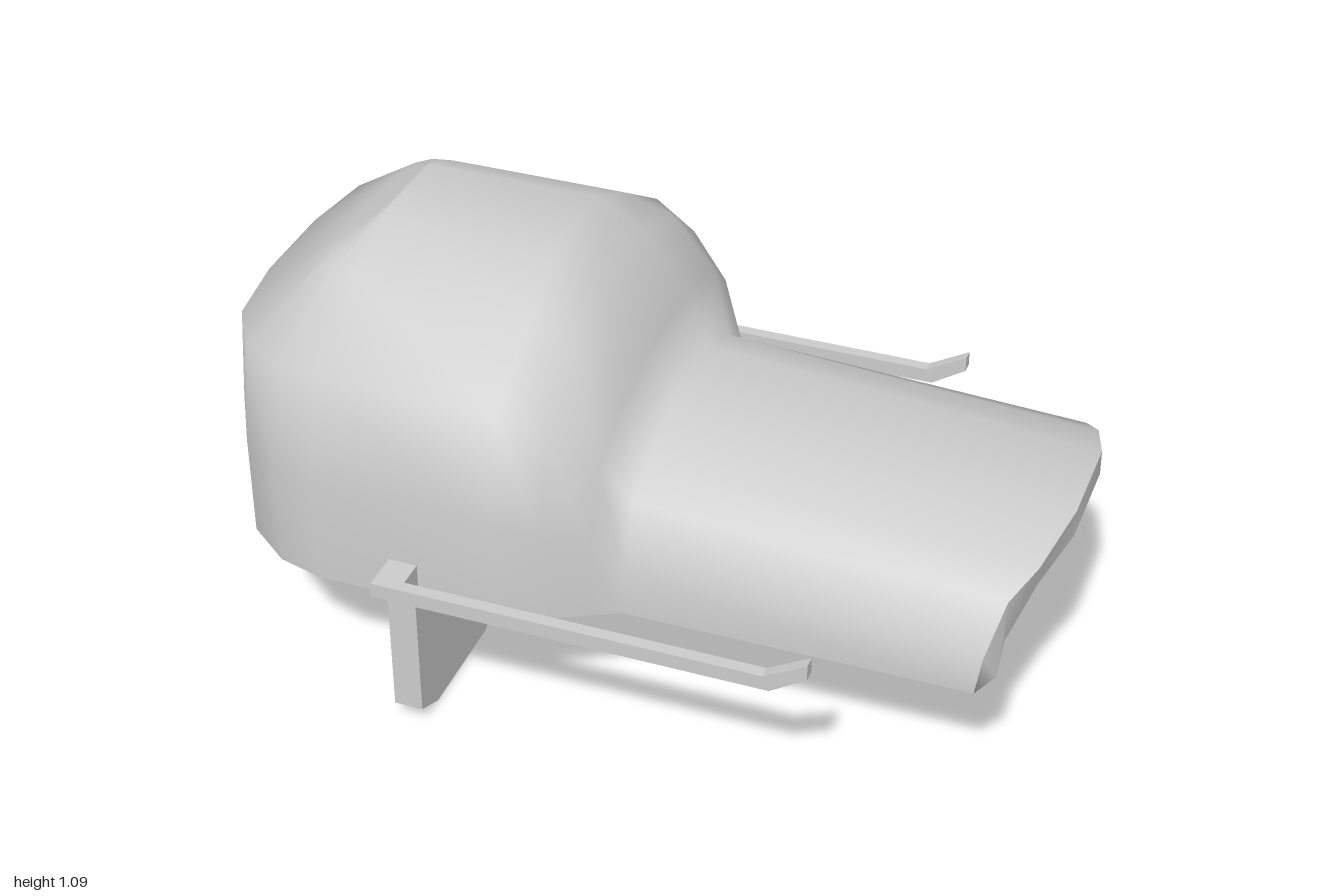
import * as THREE from 'three';

const material = new THREE.MeshStandardMaterial({ color: 0xcccccc, side: THREE.DoubleSide });

// Half of the shell: stations from the tunnel mouth back round the dome, five [x, y, z] levels each.
// The tunnel stations carry their own inner skin; the dome insets its outer one.
const STATIONS = [
  { outer: [[0.87, 0.35, 0.432], [0.885, 0.45, 0.432], [0.915, 0.565, 0.365], [0.96, 0.61, 0.28], [1, 0.665, 0.12]],
    inner: tunnelInner([0.875, 0.91, 0.912, 0.95, 1], 0, 0.6) },
  { outer: [[0.05, 0.35, 0.437], [0.05, 0.47, 0.435], [0.05, 0.61, 0.365], [0.05, 0.67, 0.28], [0.05, 0.735, 0.12]],
    inner: tunnelInner([0.05, 0.05, 0.05, 0.05, 0.05], 0, 0.6) },
  { outer: [[-0.02, 0.35, 0.47], [-0.02, 0.53, 0.465], [-0.01, 0.73, 0.42], [0, 0.82, 0.31], [0, 0.87, 0.13]],
    inner: tunnelInner([-0.04, -0.06, -0.06, -0.06, -0.06], 0.02, 0.6) },
  dome([[-0.11, 0.35, 0.52], [-0.11, 0.58, 0.52], [-0.11, 0.82, 0.47], [-0.11, 0.955, 0.31], [-0.11, 1.01, 0.13]]),
  ...[
    // Plan positions at the wall, shoulder, upper slope and crown
    [-0.22, 0.555, -0.22, 0.505, -0.22, 0.28, -0.22, 0.12],
    [-0.66, 0.555, -0.66, 0.505, -0.66, 0.28, -0.65, 0.12],
    [-0.77, 0.525, -0.76, 0.485, -0.71, 0.27, -0.65, 0.115],
    [-0.88, 0.44, -0.86, 0.43, -0.74, 0.24, -0.655, 0.1],
    [-0.97, 0.28, -0.935, 0.31, -0.755, 0.18, -0.655, 0.07],
    [-1, 0.1, -0.962, 0.12, -0.76, 0.08, -0.655, 0.04],
  ].map(([wx, wz, sx, sz, ux, uz, cx, cz]) =>
    dome([[wx, 0.35, wz], [wx, 0.61, wz], [sx, 0.87, sz], [ux, 1.01, uz], [cx, 1.085, cz]])),
];
const LEVELS = 5;

// Inner tunnel section: thin at the lower edge, thick at the haunches
function tunnelInner(xs, widen, top) {
  const profile = [[0.35, 0.422], [0.38, 0.396], [0.45, 0.355], [0.53, 0.236], [top, 0.125]];
  return profile.map(([y, z], i) => [xs[i], y, z + widen]);
}

// Dome wall: a narrow lower lip thickening towards a lower inner vault
function dome(outer) {
  const inset = [0.985, 0.92, 0.82, 0.86, 0.88];
  const rise = [0, 0.32, 0.67, 0.74, 0.78];
  const inner = outer.map(([x, y, z], i) => [
    -0.45 + (x + 0.45) * inset[i],
    0.35 + (y - 0.35) * rise[i],
    z * inset[i],
  ]);
  return { outer, inner };
}

function buildGeometry(points, index) {
  const g = new THREE.BufferGeometry();
  g.setAttribute('position', new THREE.Float32BufferAttribute(points.flat(), 3));
  g.setIndex(index);
  return g;
}

// Mirrors the half stations into a full run of points.
function fullRun(half) {
  const mirrored = half.slice().reverse().map(s => s.map(([x, y, z]) => [x, y, -z]));
  return [...half, ...mirrored].flat();
}

function skinIndex(flip) {
  const count = STATIONS.length * 2;
  const id = (j, i) => j * LEVELS + i;
  const index = [];
  const quad = (a, b, c, d) => index.push(...(flip ? [a, c, b, a, d, c] : [a, b, c, a, c, d]));
  for (let j = 0; j < count - 1; j++)
    for (let i = 0; i < LEVELS - 1; i++)
      quad(id(j, i), id(j, i + 1), id(j + 1, i + 1), id(j + 1, i));
  // Crown strip between the two sides
  const top = LEVELS - 1;
  for (let j = 0; j < STATIONS.length - 1; j++)
    quad(id(j, top), id(count - 1 - j, top), id(count - 2 - j, top), id(j + 1, top));
  return index;
}

function buildShell() {
  const shell = new THREE.Group();
  shell.name = 'shell';
  const outer = fullRun(STATIONS.map(s => s.outer));
  const inner = fullRun(STATIONS.map(s => s.inner));
  const addMesh = (name, g) => {
    g.computeVertexNormals();
    const mesh = new THREE.Mesh(g, material);
    mesh.name = name;
    shell.add(mesh);
  };
  addMesh('outerSkin', buildGeometry(outer, skinIndex(false)));
  addMesh('innerSkin', buildGeometry(inner, skinIndex(true)));

  // Rim along the open underside and around the tunnel mouth
  const loop = [];
  const count = STATIONS.length * 2;
  for (let j = 0; j < count; j++) loop.push(j * LEVELS);
  for (let i = 1; i < LEVELS; i++) loop.push((count - 1) * LEVELS + i);
  for (let i = LEVELS - 1; i > 0; i--) loop.push(i);
  const n = loop.length;
  const rimPoints = [...loop.map(k => outer[k]), ...loop.map(k => inner[k])];
  const rimIndex = [];
  for (let k = 0; k < n; k++) {
    const m = (k + 1) % n;
    rimIndex.push(k, m, n + m, k, n + m, n + k);
  }
  addMesh('rim', buildGeometry(rimPoints, rimIndex));
  return shell;
}

function extrude(name, outline, depth) {
  const shape = new THREE.Shape(outline.map(([a, b]) => new THREE.Vector2(a, b)));
  const mesh = new THREE.Mesh(new THREE.ExtrudeGeometry(shape, { depth, bevelEnabled: false }), material);
  mesh.name = name;
  return mesh;
}

// Flat leg plate with chamfered lower corners, spanning z0 to z1
function buildLeg(name, z0, z1) {
  const c = 0.085;
  const leg = extrude(name, [[-z0, 0.43], [-z0, 0.04], [-z0 - c, 0], [-z1 + c, 0], [-z1, 0.04], [-z1, 0.43]], 0.07);
  leg.rotation.y = Math.PI / 2;
  leg.position.x = -0.475;
  return leg;
}

export function createModel() {
  const model = new THREE.Group();
  model.add(buildShell());

  // Cross bar joining the legs and side arms
  const bar = new THREE.Mesh(new THREE.BoxGeometry(0.07, 0.04, 1.28), material);
  bar.name = 'crossBar';
  bar.position.set(-0.44, 0.43, 0);
  model.add(bar);

  model.add(buildLeg('leftLeg', 0.125, 0.575));
  model.add(buildLeg('rightLeg', -0.556, -0.144));

  // Side arms with upturned tips
  for (const [name, z] of [['leftArm', 0.622], ['rightArm', -0.654]]) {
    const arm = extrude(name, [[-0.475, 0.413], [0.47, 0.413], [0.555, 0.468], [0.555, 0.506],
      [0.455, 0.45], [-0.475, 0.45]], 0.03);
    arm.position.z = z;
    model.add(arm);
  }
  return model;
}
